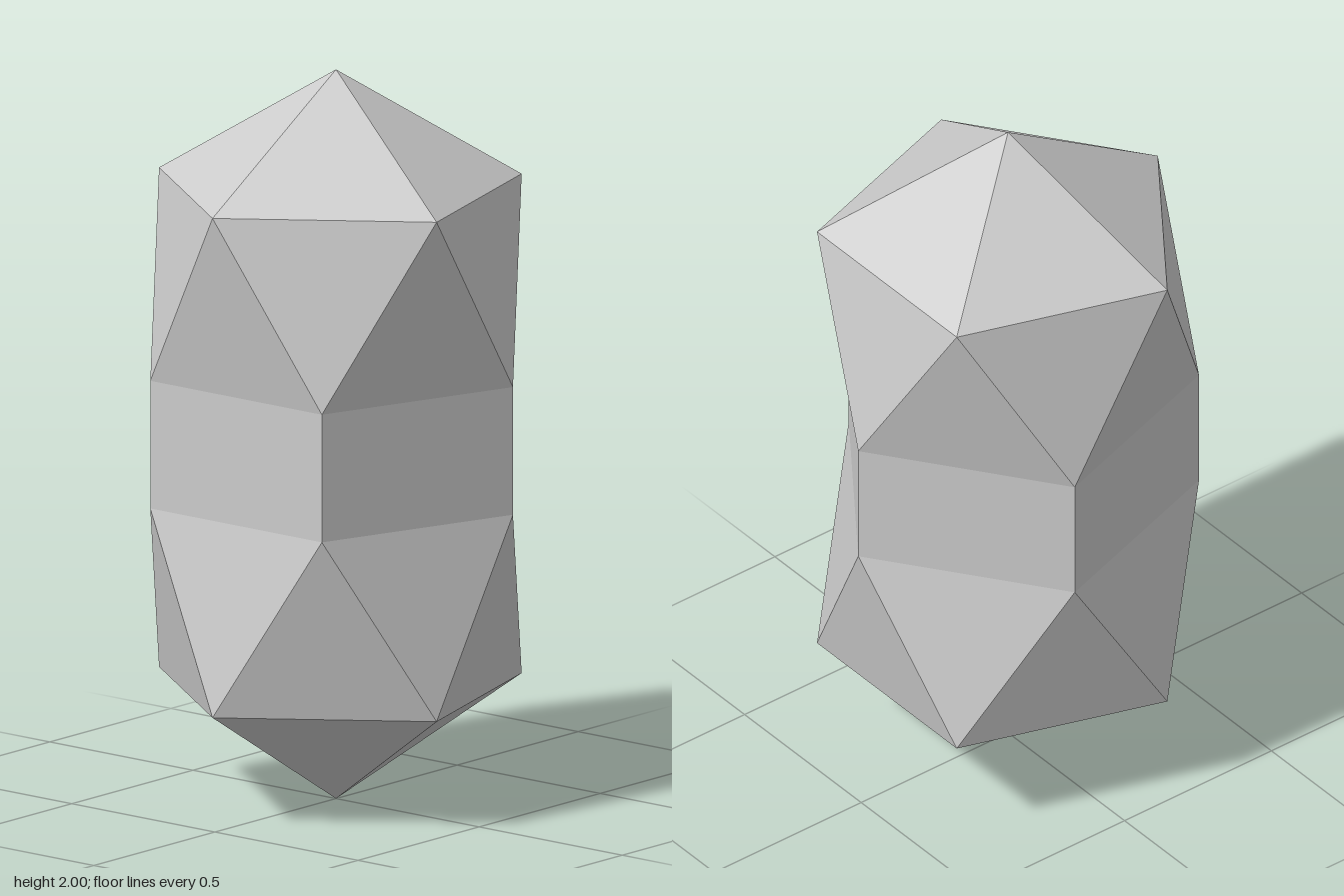
import * as THREE from 'three';

// Elongated icosahedron: two icosahedral caps joined by a straight five-sided band.
const SIDES = 5;
const R = 2 / 3.5087;             // circumradius of each cap
const RING = R * 2 / Math.sqrt(5); // radius of every ring, also the ring spacing
const TIP = R * (1 - 1 / Math.sqrt(5)); // height of the pyramid tip

// Ring of points; twist is in fractions of one side, 0 puts a corner at the front
function makeRing(y, twist) {
  return (i) => {
    const a = ((i + twist) / SIDES) * Math.PI * 2;
    return new THREE.Vector3(RING * Math.sin(a), y, RING * Math.cos(a));
  };
}

// Flat-shaded mesh from the triangles that each side contributes
function facetMesh(name, material, trianglesForSide) {
  const points = [];
  for (let i = 0; i < SIDES; i++) points.push(...trianglesForSide(i).flat());
  const geometry = new THREE.BufferGeometry().setFromPoints(points);
  geometry.computeVertexNormals();
  const mesh = new THREE.Mesh(geometry, material);
  mesh.name = name;
  return mesh;
}

export function createModel() {
  const group = new THREE.Group();
  group.name = 'elongatedCrystal';
  const material = new THREE.MeshStandardMaterial({ color: 0xcccccc, flatShading: true });

  const top = new THREE.Vector3(0, 2, 0);
  const bottom = new THREE.Vector3(0, 0, 0);
  const a = makeRing(2 - TIP, 0);
  const b = makeRing(2 - TIP - RING, 0.5);
  const c = makeRing(TIP + RING, 0.5);
  const d = makeRing(TIP, 0);

  group.add(
    // pyramid on top
    facetMesh('topCap', material, (i) => [[top, a(i), a(i + 1)]]),
    // zigzag belt under it
    facetMesh('upperBelt', material, (i) => [[a(i), b(i - 1), b(i)], [a(i), b(i), a(i + 1)]]),
    // straight band of rectangles
    facetMesh('middleBand', material, (i) => [[b(i), c(i), c(i + 1)], [b(i), c(i + 1), b(i + 1)]]),
    // mirrored zigzag belt
    facetMesh('lowerBelt', material, (i) => [[c(i), d(i), d(i + 1)], [c(i), d(i + 1), c(i + 1)]]),
    // pyramid at the bottom
    facetMesh('bottomCap', material, (i) => [[bottom, d(i + 1), d(i)]]),
  );
  return group;
}
